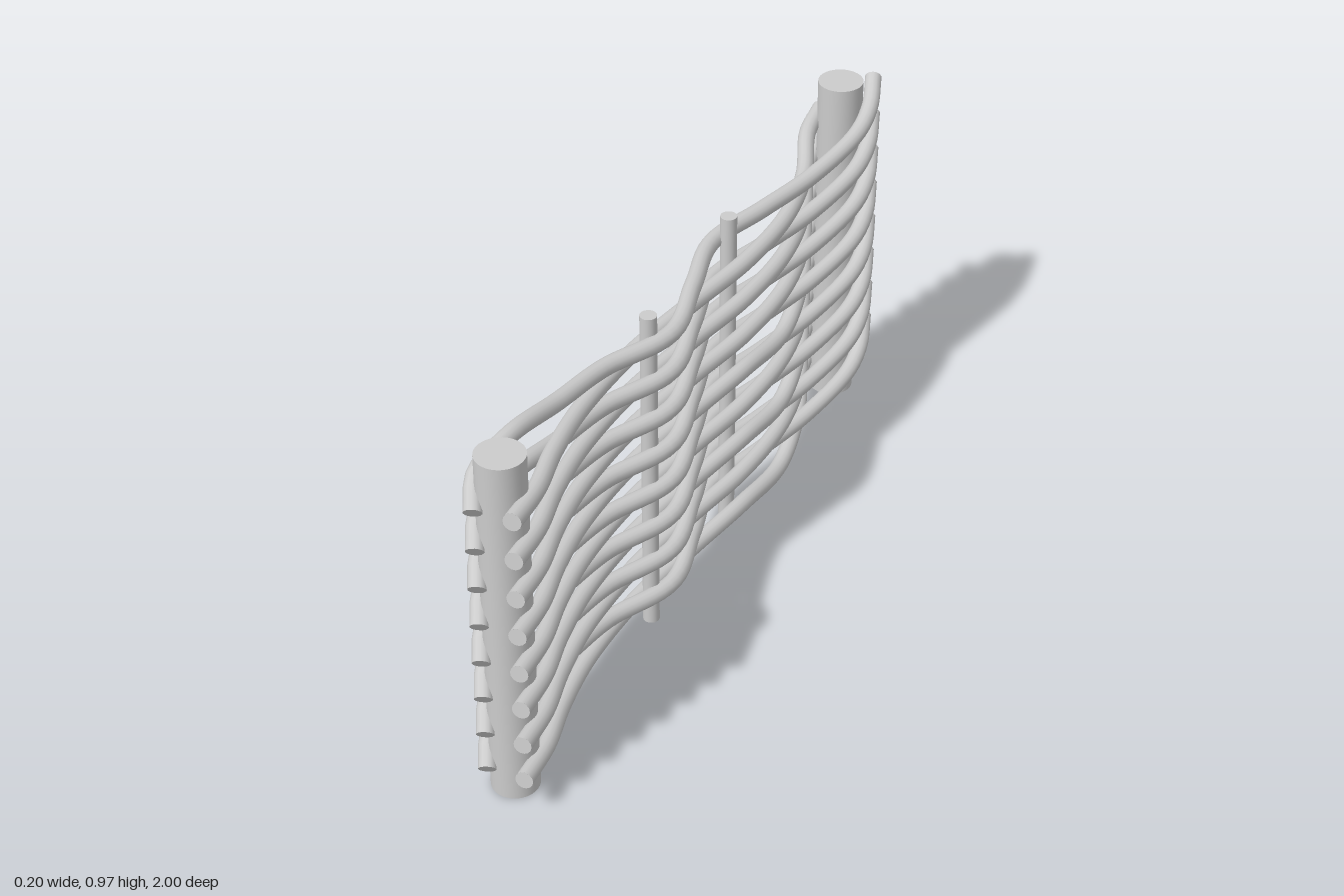
import * as THREE from 'three';
import { mergeGeometries } from 'three/addons/utils/BufferGeometryUtils.js';

const material = new THREE.MeshStandardMaterial({ color: 0xcccccc });
const ROWS = 8, ROW_STEP = 0.108, ROD_RADIUS = 0.022;

// Lowest rod of each set as [x, y, z], running from the front end to the back end
const lowerPath = [
  [0.065, 0.116, 1], [0.045, 0.098, 0.86], [0, 0.08, 0.7], [-0.035, 0.062, 0.5],
  [-0.035, 0.057, 0.25], [0, 0.058, 0], [0.035, 0.058, -0.22], [0.036, 0.055, -0.45],
  [-0.005, 0.06, -0.65], [-0.065, 0.088, -0.8], [-0.08, 0.1, -0.915],
];
const upperPath = [
  [-0.045, 0.088, 0.98], [-0.076, 0.135, 0.91], [-0.066, 0.157, 0.78], [-0.052, 0.125, 0.58],
  [-0.03, 0.11, 0.4], [0.042, 0.104, 0.2], [0, 0.108, 0], [-0.048, 0.102, -0.2],
  [-0.005, 0.096, -0.4], [0.042, 0.098, -0.6], [0.075, 0.123, -0.8], [0.067, 0.15, -0.9],
  [0.036, 0.183, -0.99],
];

// Round rod along a smooth path, closed by a flat disc at each end
function rodGeometry(points) {
  const curve = new THREE.CatmullRomCurve3(points);
  const parts = [new THREE.TubeGeometry(curve, 72, ROD_RADIUS, 14)];
  for (const t of [0, 1]) {
    const outward = curve.getTangent(t).multiplyScalar(t ? 1 : -1);
    const turn = new THREE.Quaternion().setFromUnitVectors(new THREE.Vector3(0, 0, 1), outward);
    const end = curve.getPoint(t);
    parts.push(new THREE.CircleGeometry(ROD_RADIUS, 14).applyQuaternion(turn).translate(end.x, end.y, end.z));
  }
  return mergeGeometries(parts);
}

function post(name, radius, height, x, z) {
  const mesh = new THREE.Mesh(new THREE.CylinderGeometry(radius, radius, height, 32), material);
  mesh.name = name;
  mesh.position.set(x, 0.008 + height / 2, z);
  return mesh;
}

export function createModel() {
  const fence = new THREE.Group();
  fence.name = 'wovenFence';

  // Thick end posts and thin stakes between them
  fence.add(
    post('frontPost', 0.059, 0.964, -0.01, 0.913),
    post('backPost', 0.059, 0.964, -0.01, -0.882),
    post('frontStake', 0.021, 0.92, 0.005, 0.245),
    post('backStake', 0.021, 0.92, -0.015, -0.225),
  );

  // Two interleaved sets of rods passing on opposite sides of each post
  for (const [name, path] of [['lowerRod', lowerPath], ['upperRod', upperPath]]) {
    for (let row = 0; row < ROWS; row++) {
      // Some of the lower rods sag a little before the back post
      const sags = name === 'lowerRod' && row < 5 && row % 2 === 0;
      const points = path.map(([x, y, z]) =>
        new THREE.Vector3(x, y + row * ROW_STEP - (sags && z === -0.45 ? 0.027 : 0), z));
      const rod = new THREE.Mesh(rodGeometry(points), material);
      rod.name = name + (row + 1);
      fence.add(rod);
    }
  }
  return fence;
}
